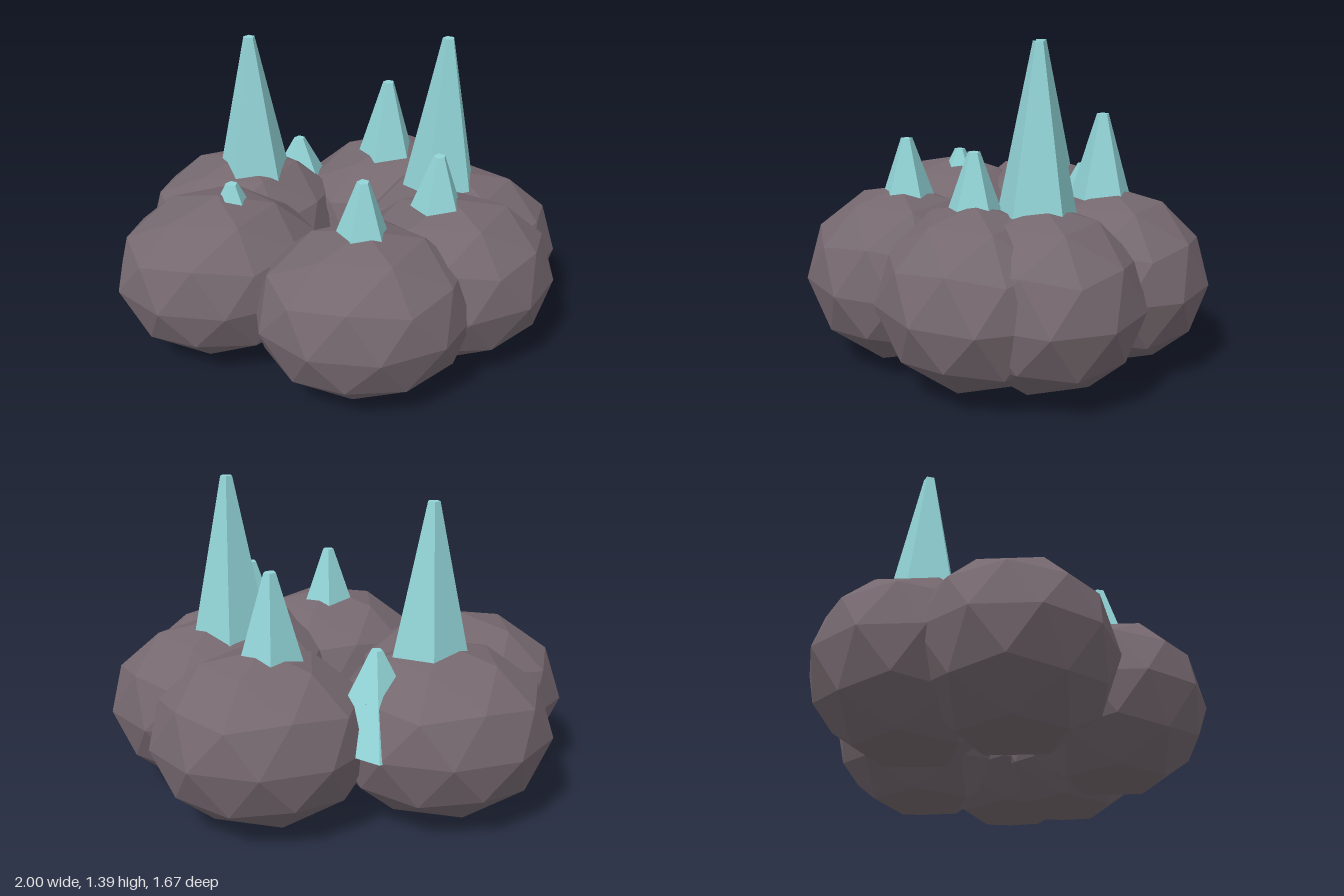
import * as THREE from 'three';

const rockMaterial = new THREE.MeshStandardMaterial({ color: 0x75686f, flatShading: true });
rockMaterial.name = 'rockGrey';
const crystalMaterial = new THREE.MeshStandardMaterial({ color: 0x92d4d7, flatShading: true });
crystalMaterial.name = 'crystalTeal';

const MID = 0.38; // height of the boulder centres, where the crystals are rooted

// Squashed icosphere with one vertex pointing straight up
function boulderGeometry() {
  const g = new THREE.IcosahedronGeometry(1, 1);
  g.rotateX(-Math.atan((1 + Math.sqrt(5)) / 2));
  g.rotateY(Math.PI / 2);
  g.scale(0.476, 0.375, 0.41);
  g.computeVertexNormals();
  return g;
}

// Five-sided tapered spike of unit height, standing on its base
function crystalGeometry(height) {
  const g = new THREE.CylinderGeometry(0.026, 0.235, height, 5).toNonIndexed();
  g.rotateY(Math.PI);
  g.translate(0, height / 2, 0);
  g.computeVertexNormals();
  return g;
}

export function createModel() {
  const model = new THREE.Group();
  model.name = 'crystalRocks';

  // Ring of boulders: x, z
  const boulder = boulderGeometry();
  [
    [-0.545, 0.03], [-0.412, -0.38], [0.328, -0.432],
    [0.546, -0.05], [0.457, 0.204], [0.04, 0.422],
  ].forEach(([x, z], i) => {
    const mesh = new THREE.Mesh(boulder, rockMaterial);
    mesh.name = `boulder${i + 1}`;
    mesh.position.set(x, MID, z);
    model.add(mesh);
  });

  // Crystals: x, z, tip height
  [
    [-0.48, 0.025, 0.805], [-0.36, -0.352, 1.338], [-0.132, -0.49, 0.77],
    [0.287, -0.405, 1.07], [0.472, -0.052, 1.392], [0.397, 0.19, 0.957],
    [0.037, 0.39, 0.962],
  ].forEach(([x, z, top], i) => {
    const mesh = new THREE.Mesh(crystalGeometry(top - MID), crystalMaterial);
    mesh.name = `crystal${i + 1}`;
    mesh.position.set(x, MID, z);
    model.add(mesh);
  });

  return model;
}
